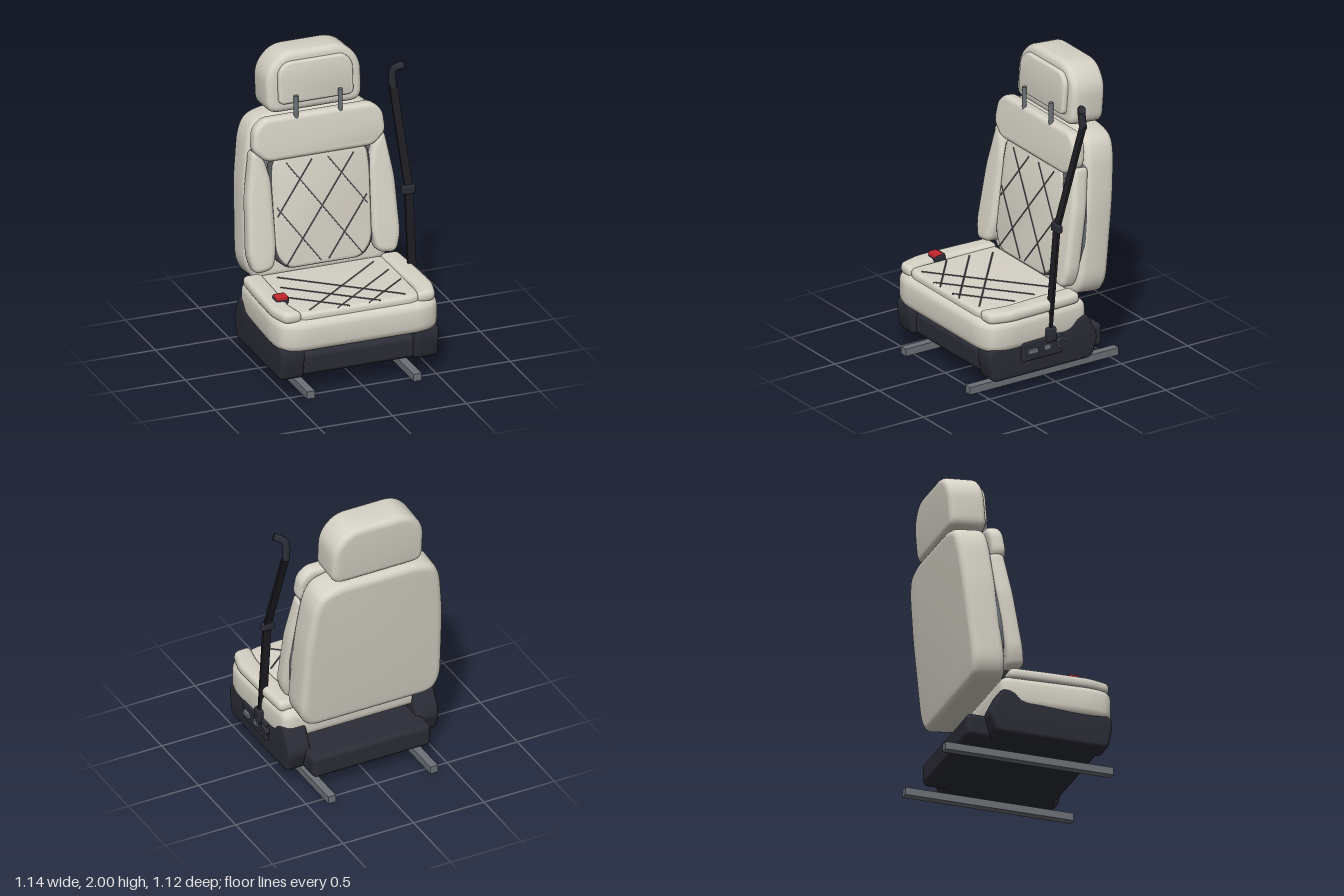
import * as THREE from 'three';
import { mergeVertices, toCreasedNormals } from 'three/addons/utils/BufferGeometryUtils.js';
import { RoundedBoxGeometry } from 'three/addons/geometries/RoundedBoxGeometry.js';

const material = (name, color) => {
  const m = new THREE.MeshStandardMaterial({ color });
  m.name = name;
  return m;
};

// Closed polygon with softened corners
function roundedShape(pts, radius) {
  const v = pts.map(p => new THREE.Vector2(p[0], p[1]));
  const shape = new THREE.Shape();
  v.forEach((p, i) => {
    const a = v[(i + v.length - 1) % v.length], b = v[(i + 1) % v.length];
    const toward = q => p.clone().lerp(q, Math.min(0.45, radius / p.distanceTo(q)));
    const s = toward(a), e = toward(b);
    if (i === 0) shape.moveTo(s.x, s.y); else shape.lineTo(s.x, s.y);
    shape.quadraticCurveTo(p.x, p.y, e.x, e.y);
  });
  shape.closePath();
  return shape;
}

// Upholstered block: outline in xy, running from z = -depth to z = 0
function padGeometry(pts, radius, depth, bevel) {
  const g = new THREE.ExtrudeGeometry(roundedShape(pts, radius), {
    depth: depth - 2 * bevel, bevelSize: bevel, bevelThickness: bevel,
    bevelOffset: -bevel, bevelSegments: 4, curveSegments: 6,
  });
  g.translate(0, 0, bevel - depth);
  g.deleteAttribute('uv');
  g.deleteAttribute('normal');
  return toCreasedNormals(mergeVertices(g, 1e-4), 0.7);
}

const mirrored = half => [...half, ...half.map(([x, y]) => [-x, y]).reverse()];

export function createModel() {
  const cream = material('cream upholstery', 0xd6d2c6);
  const dark = material('dark plastic', 0x2b2c36);
  const black = material('black webbing', 0x1d1d22);
  const grey = material('grey metal', 0x6d7278);
  const seam = material('seam thread', 0x55565a);
  const red = material('red button', 0xc4262e);

  const model = new THREE.Group();
  const seat = new THREE.Group();
  seat.name = 'seat';
  seat.position.x = -0.014;
  model.add(seat);

  const add = (parent, name, geo, mat, x = 0, y = 0, z = 0) => {
    const m = new THREE.Mesh(geo, mat);
    m.name = name;
    m.position.set(x, y, z);
    parent.add(m);
    return m;
  };
  // Upright pad: front face passes through (y0, z0), leaning back by tilt
  const upright = (name, pts, y0, z0, tilt, depth, radius, bevel, mat) => {
    const local = pts.map(([x, y]) => [x, y - y0]);
    const m = add(seat, name, padGeometry(local, radius, depth, bevel), mat, 0, y0, z0);
    m.rotation.x = -tilt;
    return m;
  };
  // Lying pad: outline in (x, z), top at given height
  const lying = (name, pts, top, height, radius, bevel, mat) => {
    const g = padGeometry(pts.map(([x, z]) => [x, -z]), radius, height, bevel);
    g.rotateX(-Math.PI / 2);
    return add(seat, name, g, mat, 0, top, 0);
  };
  // Thin straight bar between two points
  const bar = (parent, name, a, b, w, t, mat) => {
    const p = new THREE.Vector3(...a), q = new THREE.Vector3(...b);
    const m = add(parent, name, new THREE.BoxGeometry(w, p.distanceTo(q), t), mat);
    m.position.copy(p).add(q).multiplyScalar(0.5);
    m.quaternion.setFromUnitVectors(new THREE.Vector3(0, 1, 0), q.sub(p).normalize());
    return m;
  };

  // Backrest shell and core
  upright('backShell', mirrored([[0.44, 0.51], [0.5, 0.62], [0.485, 1.15], [0.45, 1.45], [0.4, 1.56], [0.27, 1.6]]),
    1.05, -0.24, 0.11, 0.22, 0.08, 0.045, cream);
  upright('backCore', mirrored([[0.47, 0.72], [0.488, 0.9], [0.475, 1.1], [0.445, 1.39]]),
    1.05, -0.205, 0.12, 0.08, 0.04, 0.02, grey);

  // Backrest front pads
  upright('upperBackPad', mirrored([[0.36, 1.32], [0.45, 1.4], [0.437, 1.54], [0.37, 1.605]]),
    1.45, -0.178, 0.13, 0.095, 0.04, 0.03, cream);
  for (const s of [-1, 1]) {
    upright('sideBolster', [[0.35, 0.62], [0.48, 0.6], [0.515, 0.72], [0.5, 1.1], [0.448, 1.41], [0.372, 1.35], [0.332, 1.2], [0.325, 0.75]]
      .map(([x, y]) => [s * x, y]), 1.0, -0.125, 0.162, 0.115, 0.05, 0.035, cream);
  }
  const panel = [[0.25, 0.6], [0.325, 0.7], [0.333, 1.2], [0.318, 1.335]];
  upright('panelPiping', mirrored(panel.map(([x, y]) => [x + 0.012, y - 0.004])), 0.96, -0.148, 0.13, 0.09, 0.06, 0.012, seam);
  const quilt = upright('quiltedBackPanel', mirrored(panel), 0.96, -0.137, 0.13, 0.1, 0.06, 0.02, cream);

  // Diamond stitching on the back panel
  const W = 0.305, H = 0.335, slope = 1.38;
  for (let k = -2; k <= 2; k++) {
    const c = k * 0.39 + 0.02;
    const x0 = Math.max(-W, (-H - c) / slope), x1 = Math.min(W, (H - c) / slope);
    if (x1 - x0 < 0.03) continue;
    for (const s of [-1, 1]) {
      bar(quilt, 'backStitch', [s * x0, slope * x0 + c, 0.001], [s * x1, slope * x1 + c, 0.001], 0.008, 0.006, seam);
    }
  }

  // Headrest
  upright('headrest', mirrored([[0.322, 1.605], [0.322, 1.88], [0.21, 2.0]]), 1.8, -0.268, 0.08, 0.245, 0.08, 0.04, cream);
  upright('headrestPanel', mirrored([[0.252, 1.67], [0.252, 1.885], [0.2, 1.945]]), 1.8, -0.237, 0.08, 0.06, 0.04, 0.015, cream);
  for (const s of [-1, 1]) {
    add(seat, 'headrestPost', new THREE.CylinderGeometry(0.015, 0.015, 0.18, 12), grey, s * 0.15, 1.64, -0.21);
  }

  // Cushion
  lying('cushionBody', mirrored([[0.525, -0.235], [0.545, 0.1], [0.557, 0.36], [0.53, 0.49], [0.42, 0.535]]),
    0.515, 0.215, 0.06, 0.055, cream);
  lying('cushionCentre', mirrored([[0.42, -0.175], [0.42, 0.47], [0.36, 0.495]]), 0.557, 0.07, 0.04, 0.025, cream);
  for (const s of [-1, 1]) {
    lying('cushionBolster', [[0.4, -0.18], [0.53, -0.18], [0.545, 0.1], [0.55, 0.35], [0.51, 0.495], [0.39, 0.5], [0.42, 0.33], [0.41, 0.1]]
      .map(([x, z]) => [s * x, z]), 0.572, 0.075, 0.04, 0.03, cream);
    for (const [x0, z0, x1, z1] of [[-0.326, -0.09, 0.325, 0.45], [-0.366, 0.06, 0.145, 0.483], [-0.386, 0.22, -0.066, 0.483]]) {
      bar(seat, 'cushionStitch', [s * x0, 0.557, z0], [s * x1, 0.557, z1], 0.007, 0.007, seam);
    }
  }

  // Base: profiled side covers around a central box
  const cover = [[0.5, 0.33], [0.508, 0.25], [0.48, 0.107], [-0.27, 0.107], [-0.315, 0.25], [-0.235, 0.415], [-0.15, 0.41], [-0.09, 0.345], [0.1, 0.35]];
  for (const s of [-1, 1]) {
    const g = padGeometry(cover.map(([z, y]) => [-z, y]), 0.04, 0.16, 0.025);
    g.translate(0, 0, 0.08);
    g.rotateY(Math.PI / 2);
    add(seat, 'baseCover', g, dark, s * 0.455, 0, 0);
  }
  add(seat, 'baseBox', new RoundedBoxGeometry(0.84, 0.158, 0.88, 4, 0.035), dark, 0, 0.187, 0.015);
  add(seat, 'rearBase', new RoundedBoxGeometry(0.8, 0.158, 0.3, 4, 0.04), dark, 0, 0.187, -0.272);

  // Floor rails
  for (const s of [-1, 1]) {
    add(seat, 'floorRail', new THREE.BoxGeometry(0.054, 0.05, 1.125), grey, s * 0.362, 0.025, 0);
  }

  // Control panel on the outer side
  add(model, 'controlPanel', new RoundedBoxGeometry(0.05, 0.13, 0.305, 3, 0.012), dark, 0.518, 0.275, 0.122);
  add(model, 'wideSwitch', new THREE.BoxGeometry(0.03, 0.03, 0.07), grey, 0.545, 0.277, 0.205);
  add(model, 'smallSwitch', new THREE.BoxGeometry(0.025, 0.035, 0.05), grey, 0.54, 0.277, 0.095);
  const knob = add(model, 'dial', new THREE.CylinderGeometry(0.033, 0.033, 0.04, 20), dark, 0.532, 0.285, -0.015);
  knob.rotation.z = Math.PI / 2;
  const ring = add(model, 'dialRing', new THREE.TorusGeometry(0.032, 0.005, 8, 24), grey, 0.55, 0.285, -0.015);
  ring.rotation.y = Math.PI / 2;

  // Safety belt
  add(model, 'beltAnchor', new RoundedBoxGeometry(0.06, 0.095, 0.07, 3, 0.012), dark, 0.53, 0.355, 0.063);
  bar(model, 'lowerBelt', [0.518, 0.36, 0.064], [0.515, 1.06, 0], 0.056, 0.018, black);
  bar(model, 'upperBelt', [0.515, 1.06, 0], [0.494, 1.7, -0.213], 0.052, 0.018, black);
  add(model, 'beltClip', new RoundedBoxGeometry(0.088, 0.058, 0.036, 3, 0.01), dark, 0.512, 1.06, 0);
  const guide = new THREE.CatmullRomCurve3([[0.494, 1.68, -0.213], [0.488, 1.76, -0.208], [0.495, 1.808, -0.198], [0.52, 1.83, -0.182], [0.555, 1.843, -0.163]]
    .map(p => new THREE.Vector3(...p)));
  add(model, 'beltGuide', new THREE.TubeGeometry(guide, 20, 0.025, 12), dark);
  for (const t of [0, 1]) {
    const end = add(model, 'beltGuideEnd', new THREE.CircleGeometry(0.025, 12), dark);
    end.position.copy(guide.getPoint(t));
    end.lookAt(end.position.clone().addScaledVector(guide.getTangent(t), t ? 1 : -1));
  }

  // Buckle with red release button
  add(model, 'buckleHousing', new RoundedBoxGeometry(0.085, 0.06, 0.08, 3, 0.01), dark, -0.457, 0.565, 0.253).rotation.x = 0.15;
  add(model, 'buckleButton', new RoundedBoxGeometry(0.078, 0.03, 0.064, 3, 0.008), red, -0.46, 0.59, 0.264);

  return model;
}
